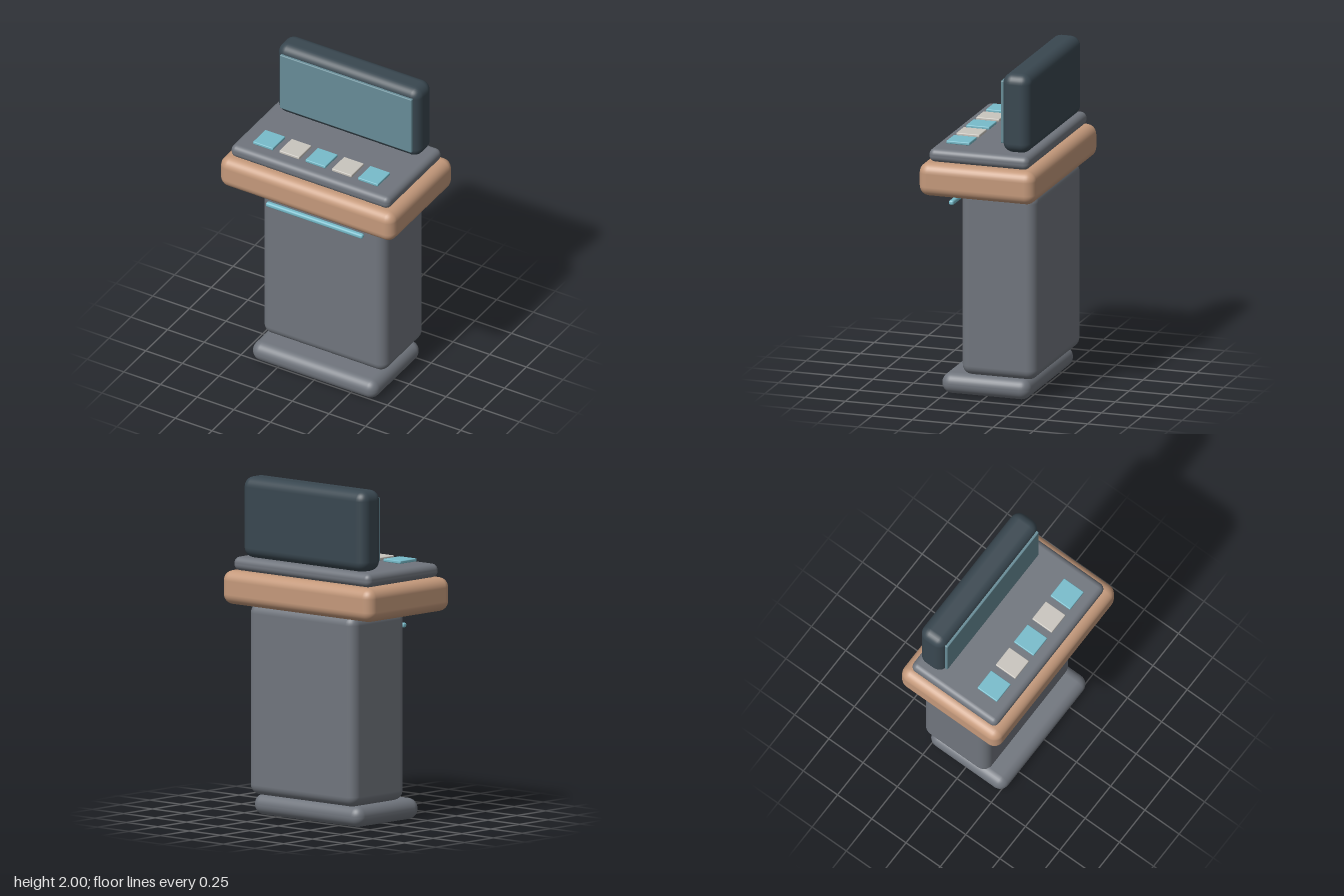
import * as THREE from 'three';
import { RoundedBoxGeometry } from 'three/addons/geometries/RoundedBoxGeometry.js';

function material(name, color) {
  const m = new THREE.MeshStandardMaterial({ color });
  m.name = name;
  return m;
}

export function createModel() {
  const model = new THREE.Group();
  model.name = 'kiosk';

  const grey = material('grey metal', 0x70757d);
  const tan = material('tan wood', 0xc4997b);
  const dark = material('dark casing', 0x394750);
  const glass = material('screen glass', 0x678c97);
  const aqua = material('aqua', 0x78bccb);
  const cream = material('cream', 0xc9c5be);

  // Rounded block given by its [min, max] extents on each axis
  function block(name, mat, x, y, z, radius, segments = 4) {
    const geometry = new RoundedBoxGeometry(x[1] - x[0], y[1] - y[0], z[1] - z[0], segments, radius);
    const mesh = new THREE.Mesh(geometry, mat);
    mesh.position.set((x[0] + x[1]) / 2, (y[0] + y[1]) / 2, (z[0] + z[1]) / 2);
    mesh.name = name;
    model.add(mesh);
  }

  // Pedestal
  block('base', grey, [-0.427, 0.427], [0, 0.125], [-0.273, 0.277], 0.06);
  block('column', grey, [-0.422, 0.422], [0.125, 1.26], [-0.315, 0.153], 0.06);

  // Counter and control deck
  block('counter', tan, [-0.595, 0.595], [1.24, 1.44], [-0.36, 0.36], 0.06);
  block('deck', grey, [-0.542, 0.542], [1.44, 1.52], [-0.31, 0.31], 0.035);

  // Monitor
  block('monitorCase', dark, [-0.487, 0.487], [1.52, 2], [-0.297, -0.122], 0.06);
  block('screen', glass, [-0.45, 0.45], [1.57, 1.95], [-0.13, -0.108], 0.006, 2);

  // Row of keys, hovering just above the deck
  for (let i = 0; i < 5; i++) {
    const x = (i - 2) * 0.179;
    block('key' + (i + 1), i % 2 ? cream : aqua, [x - 0.068, x + 0.068], [1.529, 1.547], [0.093, 0.237], 0.005, 2);
  }

  // Light bar in front of the column
  block('lightBar', aqua, [-0.33, 0.33], [1.126, 1.155], [0.225, 0.256], 0.011, 2);

  return model;
}
